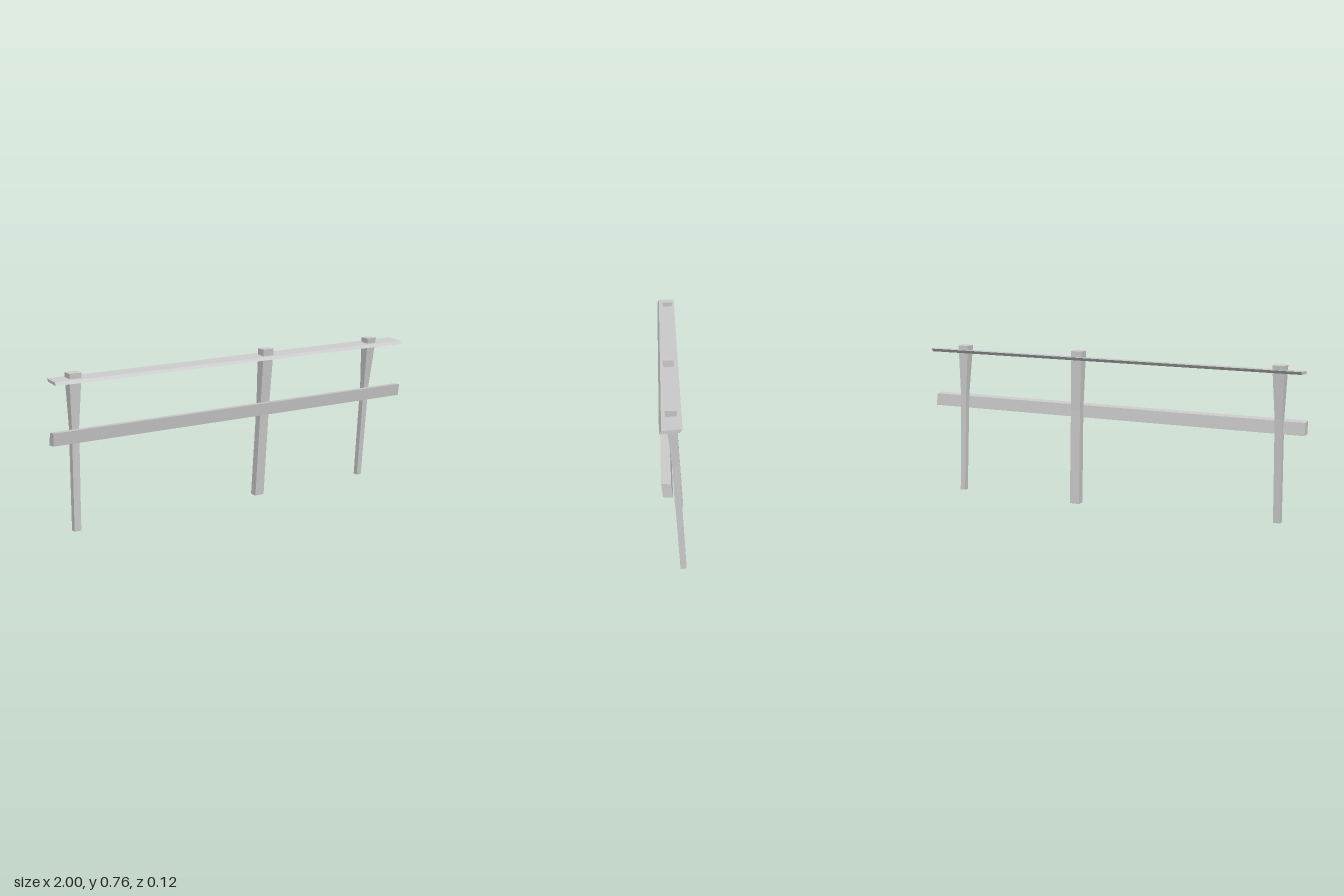
import * as THREE from 'three';

const material = new THREE.MeshStandardMaterial({ color: 0xcccccc, flatShading: true });

// Lofts four-cornered rings (each listed counter-clockwise as seen from the
// end the loft runs towards) into a closed, flat-shaded solid.
function loft(name, rings) {
  const pos = [];
  const quad = (a, b, c, d) => pos.push(...a, ...b, ...c, ...a, ...c, ...d);
  for (let i = 0; i < rings.length - 1; i++) {
    for (let k = 0; k < 4; k++) {
      const n = (k + 1) % 4;
      quad(rings[i][k], rings[i][n], rings[i + 1][n], rings[i + 1][k]);
    }
  }
  quad(...[...rings[0]].reverse());
  quad(...rings[rings.length - 1]);
  const geometry = new THREE.BufferGeometry();
  geometry.setAttribute('position', new THREE.Float32BufferAttribute(pos, 3));
  geometry.computeVertexNormals();
  const mesh = new THREE.Mesh(geometry, material);
  mesh.name = name;
  return mesh;
}

// Post section: height, x range, z range
const postRing = ([y, x0, x1, z0, z1]) => [[x0, y, z1], [x1, y, z1], [x1, y, z0], [x0, y, z0]];

// Board section: x position and its [z, y] corners
const boardRing = (x, corners) => corners.map(([z, y]) => [x, y, z]);

export function createModel() {
  const group = new THREE.Group();
  group.name = 'fence';

  // Crooked posts, each bent at mid height and wider at the top
  const posts = {
    rightPost: [
      [0.008, -0.899, -0.865, -0.010, 0.018],
      [0.5, -0.896, -0.86, -0.012, 0.020],
      [0.75, -0.905, -0.845, -0.021, 0.031],
    ],
    middlePost: [
      [0, 0.128, 0.178, -0.060, -0.020],
      [0.47, 0.136, 0.187, -0.026, 0.011],
      [0.76, 0.134, 0.193, -0.012, 0.039],
    ],
    leftPost: [
      [0.003, 0.795, 0.822, -0.060, -0.033],
      [0.5, 0.797, 0.828, -0.026, 0.005],
      [0.755, 0.788, 0.843, -0.015, 0.037],
    ],
  };
  for (const [name, rings] of Object.entries(posts)) group.add(loft(name, rings.map(postRing)));

  // Thin, tilted top plank with a slight twist along its length
  group.add(loft('topPlank', [
    boardRing(-0.985, [[0.060, 0.709], [-0.022, 0.715], [-0.031, 0.729], [0.051, 0.724]]),
    boardRing(0.995, [[0.061, 0.711], [-0.025, 0.718], [-0.035, 0.733], [0.052, 0.726]]),
  ]));

  // Square lower rail on the front of the posts
  const rail = [[0.045, 0.433], [0.003, 0.430], [0.011, 0.490], [0.053, 0.494]];
  group.add(loft('lowerRail', [boardRing(-1, rail), boardRing(0.998, rail)]));

  return group;
}
